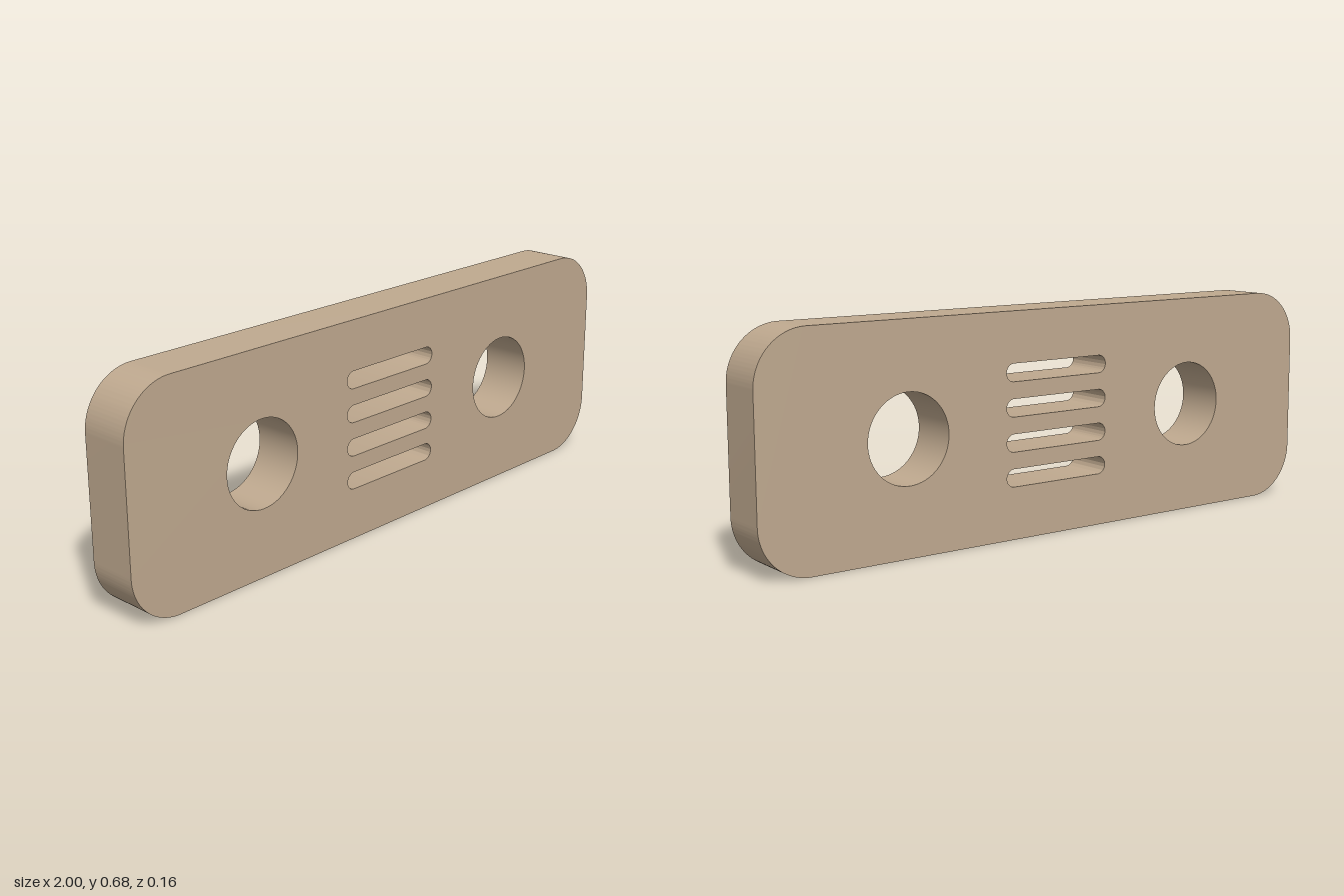
import * as THREE from 'three';
import { toCreasedNormals } from 'three/addons/utils/BufferGeometryUtils.js';

const WIDTH = 2, HEIGHT = 0.684, DEPTH = 0.158, CORNER = 0.16;
const MID = HEIGHT / 2;

// Rounded rectangle centred on (cx, cy); a full-radius one is a slot
function roundedRect(path, cx, cy, w, h, r) {
  const x = w / 2 - r, y = h / 2 - r, q = Math.PI / 2;
  path.absarc(cx + x, cy + y, r, 0, q);
  path.absarc(cx - x, cy + y, r, q, 2 * q);
  path.absarc(cx - x, cy - y, r, 2 * q, 3 * q);
  path.absarc(cx + x, cy - y, r, 3 * q, 4 * q);
  path.closePath();
  return path;
}

export function createModel() {
  const group = new THREE.Group();
  group.name = 'slottedPlate';

  // Plate outline
  const outline = roundedRect(new THREE.Shape(), 0, MID, WIDTH, HEIGHT, CORNER);

  // Large round holes, left and right
  for (const side of [-1, 1]) {
    outline.holes.push(new THREE.Path().absarc(side * 0.525, MID + 0.003, 0.134, 0, Math.PI * 2));
  }

  // Four stacked slots in the middle
  for (let i = 0; i < 4; i++) {
    const y = MID + 0.003 + (i - 1.5) * 0.105;
    outline.holes.push(roundedRect(new THREE.Path(), 0, y, 0.374, 0.054, 0.0269));
  }

  const geometry = new THREE.ExtrudeGeometry(outline, { depth: DEPTH, bevelEnabled: false, curveSegments: 32 });
  geometry.translate(0, 0, -DEPTH / 2);

  const plate = new THREE.Mesh(
    toCreasedNormals(geometry, Math.PI / 6),
    new THREE.MeshStandardMaterial({ color: 0xbfa98f })
  );
  plate.name = 'plate';
  group.add(plate);
  return group;
}
